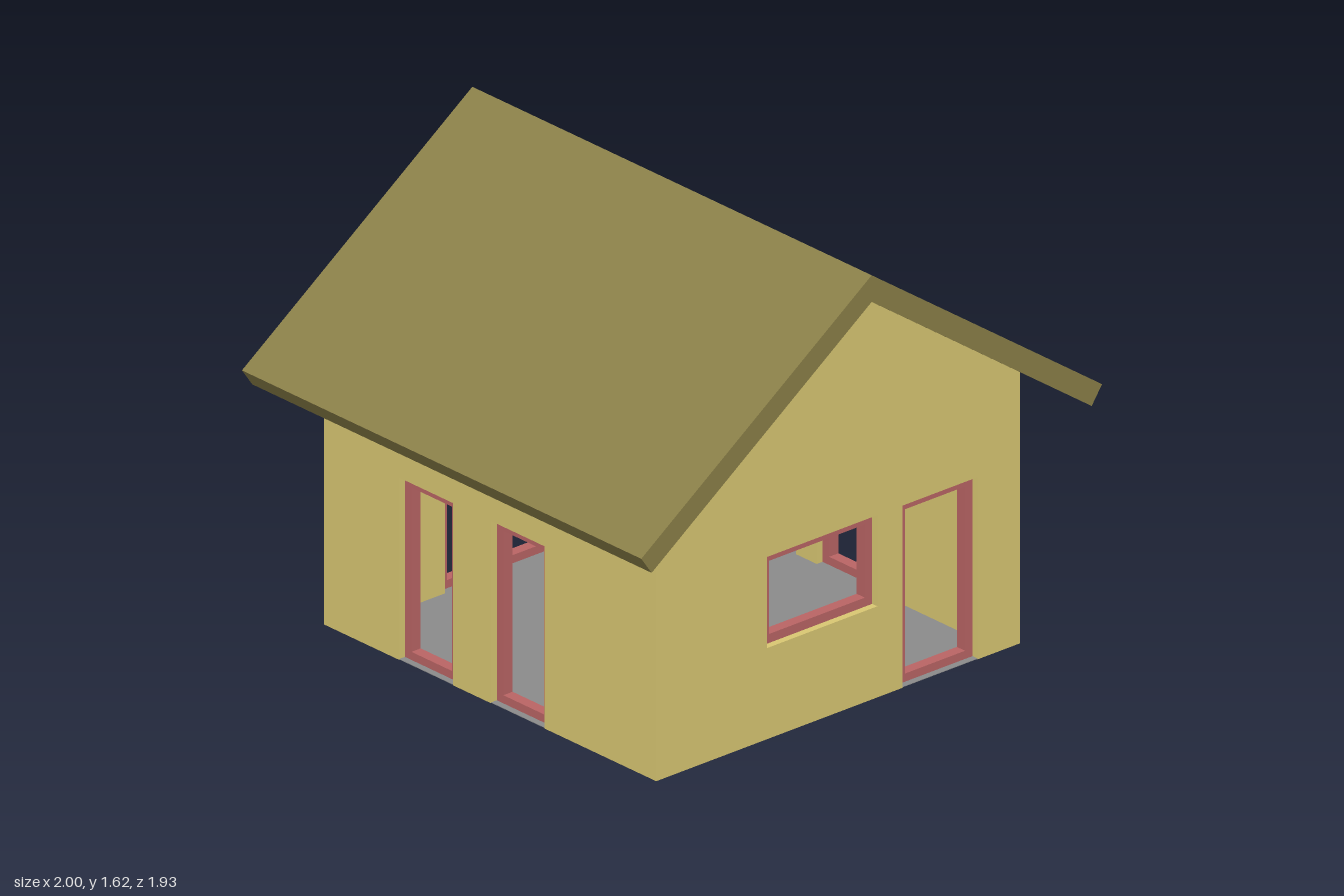
import * as THREE from 'three';

const HALF_X = 0.79, HALF_Z = 0.805, WALL = 0.09;   // footprint and wall thickness
const EAVE = 0.967, PEAK = 1.52, ROOF_HALF_Z = 0.967;
const FRAME_W = 0.032, FRAME_D = 0.04, REVEAL = 0.025;

const paint = (color) => new THREE.MeshStandardMaterial({ color });
const wallMat = paint(0xd8c672);
const roofMat = paint(0x8a7f48);
const frameMat = paint(0xb96464);
const floorMat = paint(0x8a8a8a);

const polygon = (points) => points.map(([x, y]) => new THREE.Vector2(x, y));
const rectangle = (x0, x1, y0, y1) => polygon([[x0, y0], [x1, y0], [x1, y1], [x0, y1]]);

// Extrudes a shape so that its front face lies at z = front
function slab(name, shape, front, depth, material) {
  const geometry = new THREE.ExtrudeGeometry(shape, { depth, bevelEnabled: false });
  geometry.translate(0, 0, front - depth);
  const mesh = new THREE.Mesh(geometry, material);
  mesh.name = name;
  return mesh;
}

// Wall facing local +z. Openings are [x0, x1, y0, y1], left to right;
// those reaching the ground become notches, the others holes.
function buildWall(name, half, top, openings) {
  const group = new THREE.Group();
  group.name = name;
  const outline = [[-half, 0]];
  for (const [x0, x1, y0, y1] of openings) {
    if (y0 === 0) outline.push([x0, 0], [x0, y1], [x1, y1], [x1, 0]);
  }
  outline.push([half, 0], ...top);
  const shape = new THREE.Shape(polygon(outline));

  for (const [x0, x1, y0, y1] of openings) {
    if (y0 > 0) shape.holes.push(new THREE.Path(rectangle(x0, x1, y0, y1)));
    // Frame set back inside the opening
    const frame = new THREE.Shape(rectangle(x0, x1, y0, y1));
    frame.holes.push(new THREE.Path(
      rectangle(x0 + FRAME_W, x1 - FRAME_W, y0 + FRAME_W, y1 - FRAME_W)));
    group.add(slab(y0 > 0 ? 'windowFrame' : 'doorFrame', frame, -REVEAL, FRAME_D, frameMat));
  }
  group.add(slab(name + 'Panel', shape, 0, WALL, wallMat));
  return group;
}

export function createModel() {
  const house = new THREE.Group();
  house.name = 'house';

  // Gable walls
  const gable = [[HALF_X, EAVE], [0, PEAK], [-HALF_X, EAVE]];
  const front = buildWall('frontWall', HALF_X, gable,
    [[-0.31, 0.17, 0.325, 0.65], [0.28, 0.605, 0, 0.65]]);
  front.position.z = HALF_Z;
  const back = buildWall('backWall', HALF_X, gable, [[-0.43, 0.345, 0, 0.65]]);
  back.position.z = -HALF_Z;
  back.rotation.y = Math.PI;

  // Side walls fit between the gables and run up into the roof
  const sideHalf = HALF_Z - WALL, sideTop = EAVE + 0.065;
  const eaves = [[sideHalf, sideTop], [-sideHalf, sideTop]];
  const left = buildWall('leftWall', sideHalf, eaves,
    [[-0.185, 0.08, 0, 0.65], [0.18, 0.44, 0, 0.65]]);
  left.position.x = HALF_X;
  left.rotation.y = Math.PI / 2;
  const right = buildWall('rightWall', sideHalf, eaves,
    [[-0.44, -0.18, 0, 0.65], [0.005, 0.265, 0, 0.65]]);
  right.position.x = -HALF_X;
  right.rotation.y = -Math.PI / 2;
  house.add(front, back, left, right);

  // Pitched roof with overhanging eaves cut square to the slope
  const roof = new THREE.Shape(polygon([
    [0, 1.615], [-1, 0.915], [-0.955, 0.851], [0, PEAK], [0.955, 0.851], [1, 0.915]]));
  house.add(slab('roof', roof, ROOF_HALF_Z, 2 * ROOF_HALF_Z, roofMat));

  // Thin floor over the whole footprint
  const floor = new THREE.Mesh(
    new THREE.BoxGeometry(2 * HALF_X - 0.002, 0.002, 2 * HALF_Z - 0.002), floorMat);
  floor.name = 'floor';
  floor.position.y = 0.002;
  house.add(floor);

  return house;
}
